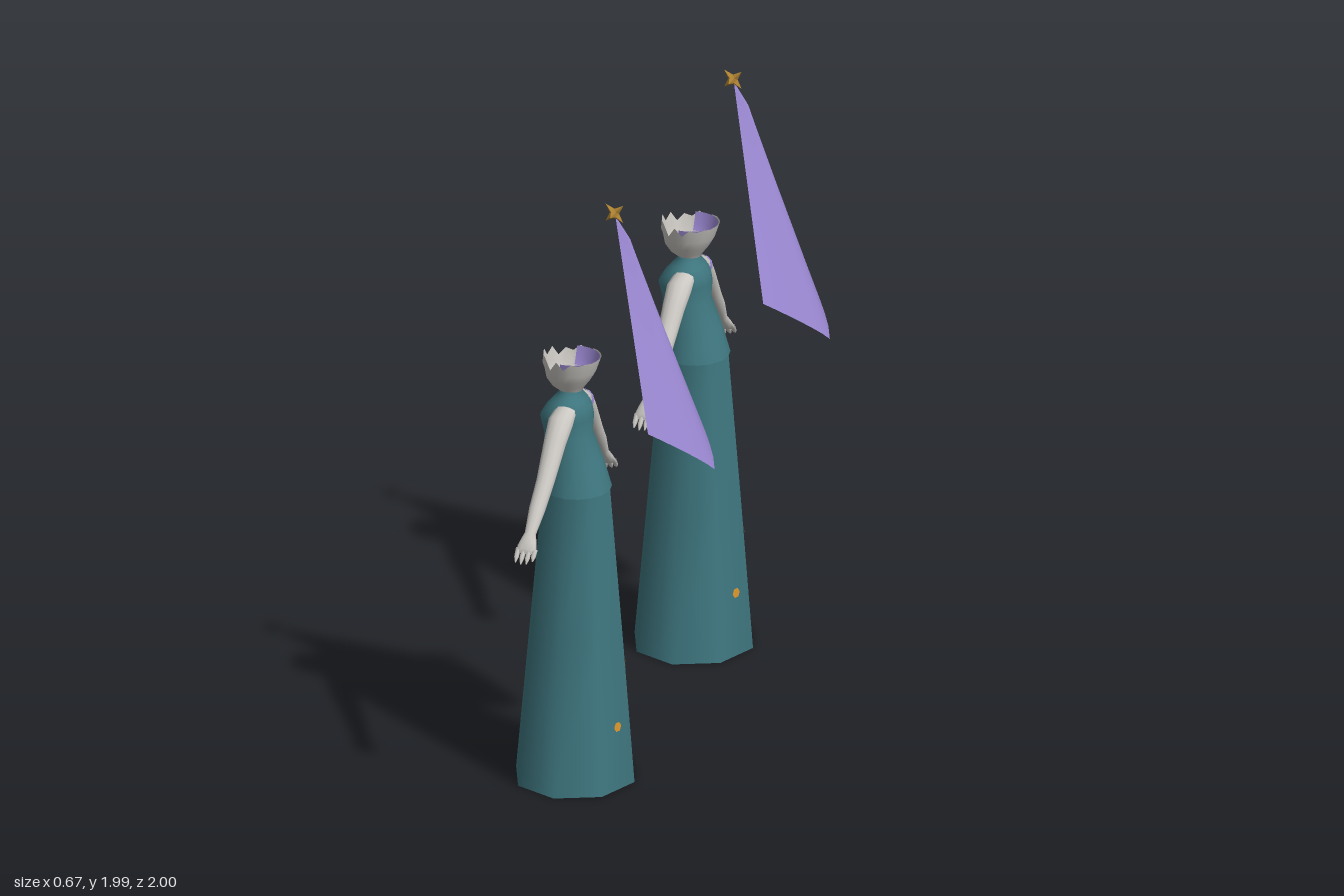
import * as THREE from 'three';

const mat = (name, color, side = THREE.DoubleSide) => {
  const m = new THREE.MeshStandardMaterial({ color, side });
  m.name = name;
  return m;
};

// Skin a list of point rows; closed rows wrap round
function skin(rows, closed) {
  const n = rows[0].length, pos = [], idx = [];
  rows.forEach(r => r.forEach(p => pos.push(...p)));
  for (let i = 0; i < rows.length - 1; i++)
    for (let j = 0; j < (closed ? n : n - 1); j++) {
      const k = (j + 1) % n;
      const a = i * n + j, b = i * n + k, c = a + n, d = b + n;
      idx.push(a, c, b, b, c, d);
    }
  const g = new THREE.BufferGeometry();
  g.setAttribute('position', new THREE.Float32BufferAttribute(pos, 3));
  g.setIndex(idx);
  g.computeVertexNormals();
  return g;
}

// Upright body from level rings: [y, centre x, x radius, z radius]
function rings(list, sides) {
  return skin(list.map(([y, cx, rx, rz]) => Array.from({ length: sides }, (_, j) => {
    const a = j / sides * Math.PI * 2;
    return [cx + rx * Math.cos(a), y, rz * Math.sin(a)];
  })), true);
}

// Limb along a path in the side plane: [z, y, centre x, x radius, thickness]
function limb(list, side, sides) {
  const rows = list.map(([z, y, cx, rx, rn], i) => {
    const p = list[Math.max(i - 1, 0)], q = list[Math.min(i + 1, list.length - 1)];
    let dz = (q[0] - p[0]) * side, dy = q[1] - p[1];
    const l = Math.hypot(dz, dy);
    dz /= l; dy /= l;
    return Array.from({ length: sides }, (_, j) => {
      const a = j / sides * Math.PI * 2, s = rn * Math.sin(a);
      return [cx + rx * Math.cos(a), y - dz * s, z * side + dy * s];
    });
  });
  return skin(rows, true);
}

// Kite-shaped veil, folded along a central ridge
function veilGeometry(k) {
  const rows = [], cols = 12, steps = [1, 0.9, 0.75, 0.6, 0.45, 0.3, 0.16, 0.08, 0.001];
  for (const t of steps) {
    const u = Math.max(0, (t - 0.08) / 0.92);
    const rx = t < 0.08 ? 0.05 * t / 0.08 : 0.05 + 0.28 * u;
    const ry = t < 0.08 ? 1.955 - 0.075 * t / 0.08 : 1.88 - 0.765 * u;
    const ex = 0.17 * t, ey = 1.955 - 0.665 * t;
    rows.push(Array.from({ length: cols + 1 }, (_, j) => {
      const s = j / cols * 2 - 1, m = Math.abs(s);
      const w = 1 - m ** 1.3;
      return [ex + (rx - ex) * w, ey + (ry - ey) * (1 - m), s * 0.188 * t - k * 0.016 * t];
    }));
  }
  return skin(rows, false);
}

// Six-spiked star: an octahedron with its edge midpoints drawn inward
function starGeometry() {
  const g = new THREE.OctahedronGeometry(1, 1), p = g.attributes.position;
  const v = new THREE.Vector3();
  for (let i = 0; i < p.count; i++) {
    v.fromBufferAttribute(p, i);
    const tip = Math.max(Math.abs(v.x), Math.abs(v.y), Math.abs(v.z)) > 0.95;
    v.multiplyScalar(tip ? 0.042 : 0.016);
    p.setXYZ(i, v.x, v.y, v.z);
  }
  g.computeVertexNormals();
  g.rotateZ(Math.PI / 4);
  return g;
}

// Ragged open bowl; jag lifts the points of the rim
function headGeometry() {
  const jag = [0.02, 0.02, 0.018, 0.02, 0.015, 0.02, 0.0, 0.024, -0.01, 0.02, 0.03, -0.008,
    0.03, 0.0, 0.022, -0.012, 0.01, 0.0, 0.02, 0.005, 0.018, 0.02, 0.02, 0.02];
  const g = rings([[1.335, -0.15, 0.038, 0.038], [1.35, -0.158, 0.055, 0.048],
    [1.375, -0.157, 0.073, 0.064], [1.405, -0.151, 0.084, 0.078], [1.432, -0.146, 0.095, 0.088]], 24);
  const p = g.attributes.position;
  jag.forEach((h, j) => p.setY(4 * 24 + j, p.getY(4 * 24 + j) + h));
  g.computeVertexNormals();
  return g;
}

// Lining along the back half of the head opening
function liningGeometry() {
  const rows = [[1.39, -0.151, 0.076, 0.067], [1.41, -0.15, 0.081, 0.076], [1.45, -0.146, 0.09, 0.084]];
  return skin(rows.map(([y, cx, rx, rz]) => Array.from({ length: 15 }, (_, j) => {
    const a = (j / 14 - 0.5) * 3.4;
    return [cx + rx * Math.cos(a), y, rz * Math.sin(a)];
  })), false);
}

export function createModel() {
  const teal = mat('dress teal', 0x3f7780);
  const skinGrey = mat('pale grey', 0xcbc8c3);
  const purple = mat('veil purple', 0x9b88d2);
  const gold = mat('star gold', 0xb08432);
  gold.flatShading = true;
  const orange = mat('spot orange', 0xd8942c);

  const model = new THREE.Group();
  const add = (parent, name, geo, material) => {
    const m = new THREE.Mesh(geo, material);
    m.name = name;
    parent.add(m);
    return m;
  };

  for (const k of [1, -1]) {
    const fig = new THREE.Group();
    fig.name = k > 0 ? 'frontFigure' : 'backFigure';
    fig.position.z = 0.5775 * k;
    model.add(fig);

    // Dress: eight-sided open skirt and a rounder bodice
    add(fig, 'skirt', rings([[0, -0.135, 0.2, 0.212], [0.5, -0.132, 0.157, 0.165],
      [1.0, -0.13, 0.113, 0.117]], 8), teal);
    add(fig, 'bodice', rings([[1.0, -0.13, 0.112, 0.115], [1.1, -0.141, 0.094, 0.098],
      [1.19, -0.158, 0.077, 0.085], [1.245, -0.163, 0.086, 0.092], [1.28, -0.156, 0.072, 0.088],
      [1.305, -0.152, 0.053, 0.068], [1.325, -0.15, 0.038, 0.044], [1.345, -0.15, 0.037, 0.037]], 16), teal);

    add(fig, 'head', headGeometry(), skinGrey);
    add(fig, 'headLining', liningGeometry(), purple);

    // Arms and hands
    for (const s of [1, -1]) {
      const arm = new THREE.Group();
      arm.name = s > 0 ? 'armFront' : 'armBack';
      fig.add(arm);
      add(arm, 'arm', limb([[0.06, 1.28, -0.147, 0.036, 0.026], [0.1, 1.257, -0.15, 0.042, 0.036],
        [0.15, 1.207, -0.152, 0.037, 0.034], [0.235, 1.105, -0.155, 0.03, 0.028],
        [0.3, 1.035, -0.16, 0.027, 0.025], [0.355, 0.972, -0.164, 0.019, 0.016],
        [0.372, 0.951, -0.165, 0.028, 0.015], [0.39, 0.929, -0.165, 0.034, 0.012],
        [0.398, 0.92, -0.165, 0.028, 0.002]], s, 12), skinGrey);
      for (let f = 0; f < 4; f++) {
        const x = -0.193 + f * 0.0185, len = [0.9, 1, 0.95, 0.75][f];
        add(arm, 'finger', limb([[0.386, 0.932, x, 0.009, 0.009],
          [0.386 + 0.022 * len, 0.932 - 0.026 * len, x, 0.008, 0.008],
          [0.386 + 0.034 * len, 0.932 - 0.042 * len, x, 0.002, 0.002]], s, 6), skinGrey);
      }
      add(arm, 'thumb', limb([[0.362, 0.958, -0.178, 0.011, 0.01], [0.368, 0.932, -0.194, 0.009, 0.009],
        [0.37, 0.908, -0.2, 0.003, 0.003]], s, 6), skinGrey);
    }
    add(fig, 'shoulderTrim', limb([[0.084, 1.268, -0.149, 0.041, 0.034],
      [0.1, 1.257, -0.15, 0.044, 0.038]], -1, 12), purple);

    // Veil with a star at its peak
    add(fig, 'veil', veilGeometry(k), purple);
    add(fig, 'star', starGeometry(), gold).position.set(-0.003, 1.963, 0);

    // Small spots lying on the skirt
    for (const [y, z] of [[0.36, -0.112], [0.21, 0.058]]) {
      const rx = 0.2 - 0.087 * y, rz = 0.212 - 0.095 * y;
      const x = -0.135 + rx * (1 - 0.293 * Math.abs(z) / (0.707 * rz));
      const spot = add(fig, 'skirtSpot', new THREE.CircleGeometry(0.017, 6), orange);
      spot.position.set(x + 0.005, y, z + 0.002 * Math.sign(z));
      spot.rotation.set(-0.09, Math.PI / 2 - Math.sign(z) * Math.PI / 8, 0, 'YXZ');
    }
  }
  return model;
}
